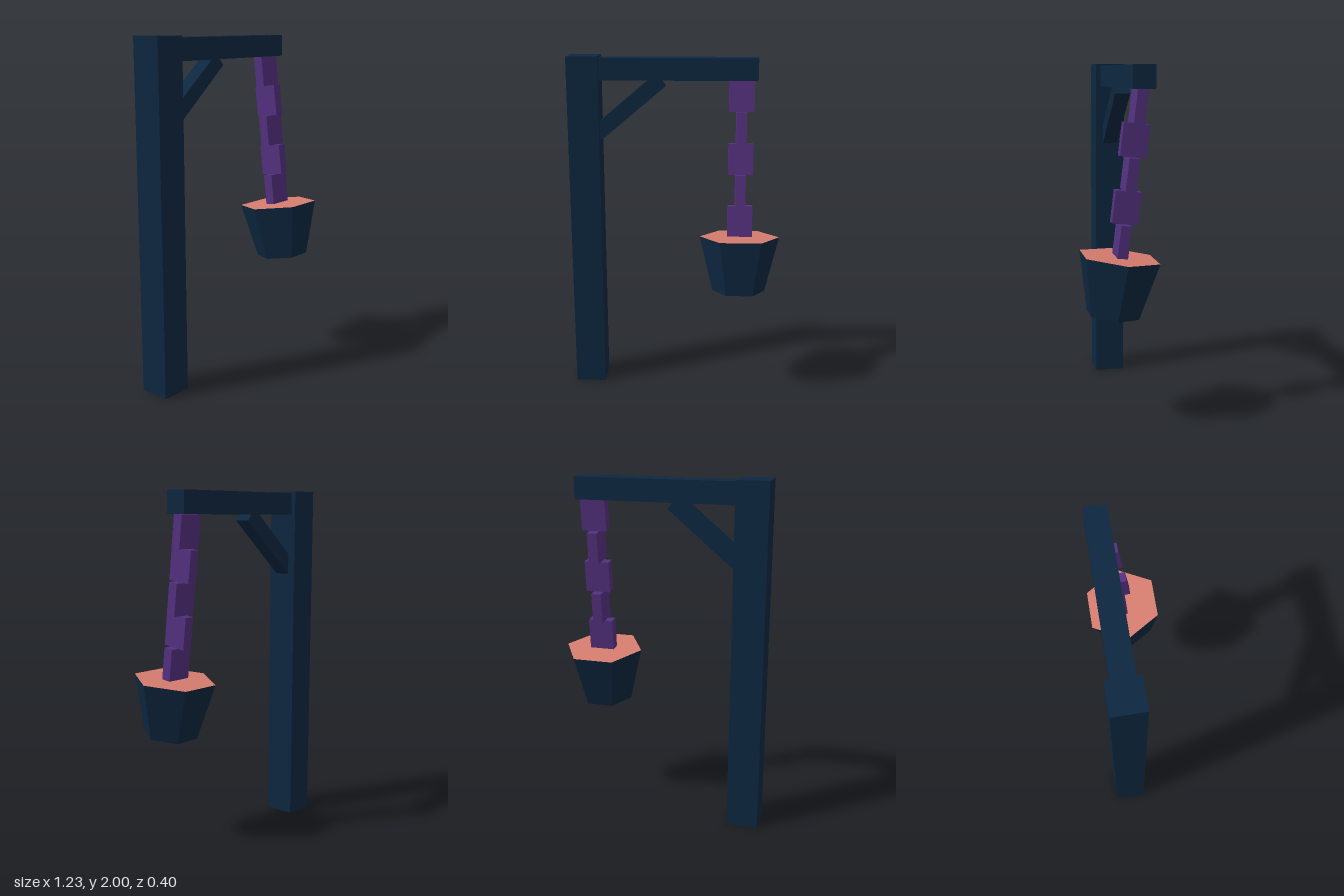
import * as THREE from 'three';

function material(name, color) {
  const m = new THREE.MeshStandardMaterial({ color });
  m.name = name;
  return m;
}

export function createModel() {
  const group = new THREE.Group();
  const navy = material('navy', 0x0d2740);
  const purple = material('purple', 0x53307f);
  const salmon = material('salmon', 0xd57c6e);

  function add(name, geometry, mat, x, y, z) {
    const mesh = new THREE.Mesh(geometry, mat);
    mesh.name = name;
    mesh.position.set(x, y, z);
    group.add(mesh);
    return mesh;
  }

  // Upright post, arm and diagonal brace
  add('post', new THREE.BoxGeometry(0.18, 2, 0.18), navy, -0.528, 1, -0.11);
  add('arm', new THREE.BoxGeometry(0.93, 0.124, 0.124), navy, 0.004, 1.928, -0.11);
  const brace = add('brace', new THREE.BoxGeometry(0.6, 0.09, 0.09), navy, -0.319, 1.672, -0.11);
  brace.rotation.z = 0.698;

  // Chain of flat links, each turned a quarter from the last, swinging forward
  const swing = -0.118;
  for (let i = 0; i < 5; i++) {
    const [w, d] = i % 2 ? [0.058, 0.145] : [0.145, 0.058];
    const link = add('chainLink' + (i + 1), new THREE.BoxGeometry(w, 0.18, d), purple,
      0.379, 1.777 - i * 0.18, -0.099 + i * 0.0212);
    link.rotation.x = swing;
  }

  // Six-sided tapered bucket with a flat coloured top
  const bucketShape = new THREE.CylinderGeometry(0.234, 0.154, 0.326, 6, 1, false, Math.PI / 6).toNonIndexed();
  bucketShape.computeVertexNormals();
  const bucket = add('bucket', bucketShape, [navy, salmon, navy], 0.379, 0.801, 0.019);
  bucket.rotation.x = -0.115;

  // toNonIndexed keeps the side, top and bottom groups
  return group;
}
